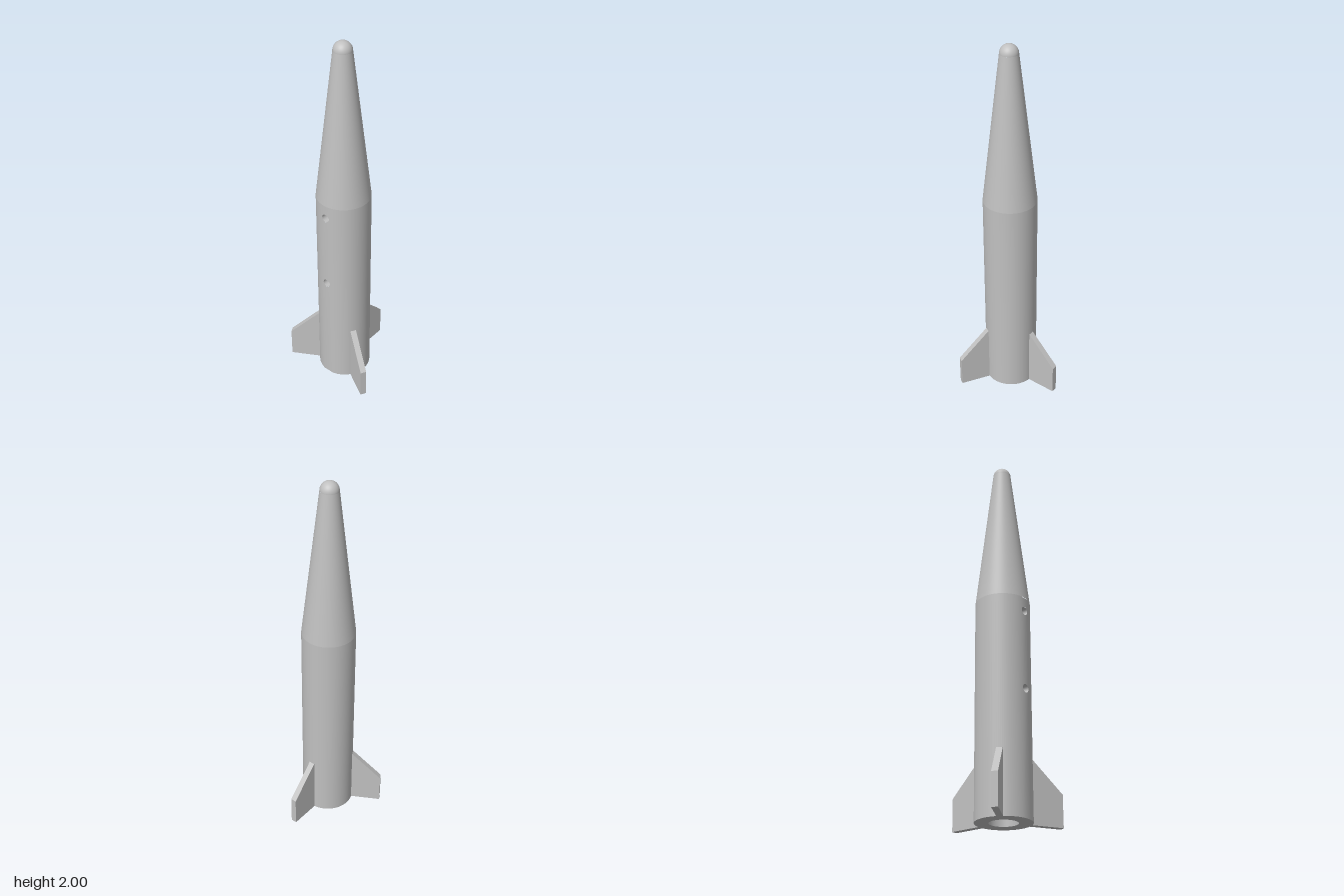
import * as THREE from 'three';

const R = 0.142;        // body radius
const AXIS_X = -0.07;   // body axis
const SHOULDER = 1.15;  // top of the straight body
const TIP_R = 0.048, TIP_Y = 1.952;
const HOLE_R = 0.022, HOLE_YS = [0.65, 1.075];
const PATCH = 0.2;      // half angle of the drilled strip

// Lathe with every profile corner kept sharp
function sharpLathe(points, segments) {
  const doubled = points.flatMap(([r, y]) => [new THREE.Vector2(r, y), new THREE.Vector2(r, y)]);
  return new THREE.LatheGeometry(doubled.slice(1, -1), segments);
}

// Strip of body wall with the two holes, wrapped round the cylinder at -x
function drilledStrip() {
  const w = PATCH * R;
  const shape = new THREE.Shape([
    new THREE.Vector2(-w, 0), new THREE.Vector2(w, 0),
    new THREE.Vector2(w, SHOULDER), new THREE.Vector2(-w, SHOULDER),
  ]);
  for (const y of HOLE_YS) shape.holes.push(new THREE.Path().absarc(0, y, HOLE_R, 0, Math.PI * 2, true));
  const g = new THREE.ShapeGeometry(shape, 24);
  const p = g.attributes.position, n = g.attributes.normal;
  for (let i = 0; i < p.count; i++) {
    const a = p.getX(i) / R;
    p.setXYZ(i, -R * Math.cos(a), p.getY(i), R * Math.sin(a));
    n.setXYZ(i, -Math.cos(a), 0, Math.sin(a));
  }
  return g;
}

export function createModel() {
  const grey = new THREE.MeshStandardMaterial({ color: 0xc0c0c0 });
  grey.name = 'lightGrey';
  const model = new THREE.Group();
  model.name = 'rocket';
  const rocket = new THREE.Group();
  rocket.name = 'airframe';
  rocket.position.x = AXIS_X;
  model.add(rocket);

  const add = (name, geometry) => {
    const mesh = new THREE.Mesh(geometry, grey);
    mesh.name = name;
    rocket.add(mesh);
    return mesh;
  };

  // Straight body, open where the drilled strip sits
  const wall = new THREE.CylinderGeometry(R, R, SHOULDER, 90, 1, true,
    Math.PI * 1.5 + PATCH, Math.PI * 2 - 2 * PATCH);
  add('bodyTube', wall.translate(0, SHOULDER / 2, 0));
  add('drilledBodyStrip', drilledStrip());

  // Bottom ring and engine bore
  add('engineBore', sharpLathe([[0, 1.0], [0.072, 1.0], [0.072, 0], [R, 0]], 64));

  // Blind holes in the side
  for (const y of HOLE_YS) {
    const hole = add('sideHole', sharpLathe([[HOLE_R, R - 0.0008], [HOLE_R, 0.08], [0, 0.08]], 24));
    hole.rotation.z = Math.PI / 2;
    hole.position.y = y;
  }

  // Tapered nose and rounded tip
  const taper = new THREE.CylinderGeometry(TIP_R, R, TIP_Y - SHOULDER, 96, 1, true);
  add('noseCone', taper.translate(0, (TIP_Y + SHOULDER) / 2, 0));
  const dome = new THREE.SphereGeometry(TIP_R, 48, 16, 0, Math.PI * 2, 0, Math.PI / 2);
  add('noseTip', dome.translate(0, TIP_Y, 0));

  // Three fins, root sunk slightly into the body
  const finShape = new THREE.Shape([
    new THREE.Vector2(0.135, 0), new THREE.Vector2(0.306, 0),
    new THREE.Vector2(0.306, 0.165), new THREE.Vector2(R, 0.33), new THREE.Vector2(0.135, 0.33),
  ]);
  const finGeometry = new THREE.ExtrudeGeometry(finShape, { depth: 0.032, bevelEnabled: false });
  finGeometry.translate(0, 0, -0.016);
  for (let i = 0; i < 3; i++) add('fin', finGeometry).rotation.y = (i * Math.PI * 2) / 3;

  return model;
}
